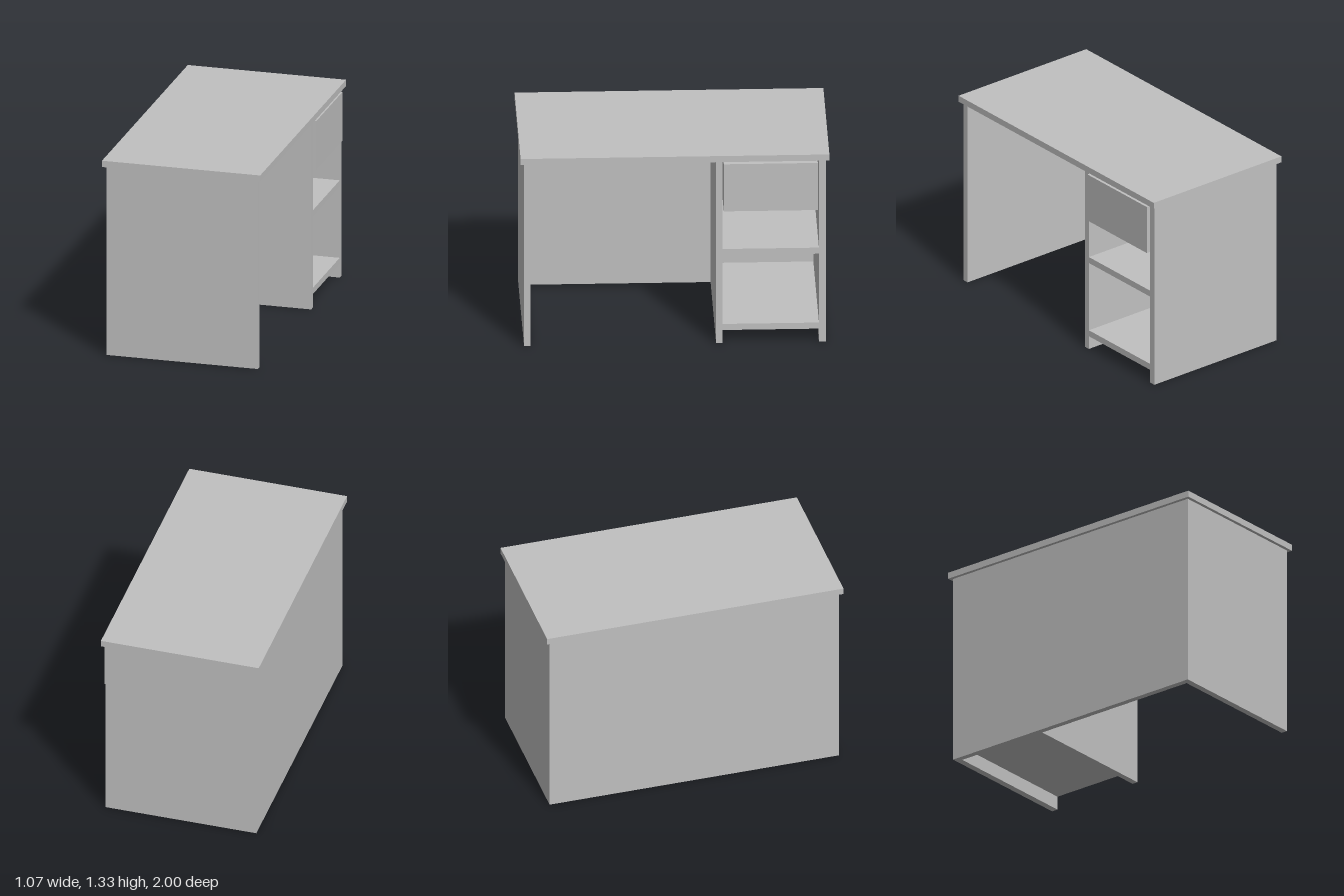
import * as THREE from 'three';

export function createModel() {
  const desk = new THREE.Group();
  desk.name = 'desk';
  const greyBoard = new THREE.MeshStandardMaterial({ color: 0xc0c0c0 });

  // Adds a board given its extents along each axis
  function board(name, [x0, x1], [y0, y1], [z0, z1]) {
    const mesh = new THREE.Mesh(new THREE.BoxGeometry(x1 - x0, y1 - y0, z1 - z0), greyBoard);
    mesh.position.set((x0 + x1) / 2, (y0 + y1) / 2, (z0 + z1) / 2);
    mesh.name = name;
    desk.add(mesh);
  }

  const height = 1.29;
  const depth = [-0.51, 0.51];
  const inner = [-0.47, 0.51]; // in front of the back panel

  // Overhanging top
  board('deskTop', [-0.533, 0.533], [height, 1.333], [-1, 1]);

  // Upright panels
  board('frontEndPanel', depth, [0, height], [0.935, 0.977]);
  board('rearEndPanel', depth, [0, height], [-0.977, -0.933]);
  board('backPanel', [-0.51, -0.47], [0, height], [-0.933, 0.935]);
  board('divider', inner, [0, height], [-0.307, -0.267]);

  // Shelves of the cabinet bay
  board('lowerShelf', inner, [0.092, 0.135], [-0.933, -0.307]);
  board('middleShelf', inner, [0.622, 0.665], [-0.933, -0.307]);

  // Drawer, standing slightly proud of the bay
  board('drawer', [-0.45, 0.53], [0.94, 1.273], [-0.925, -0.316]);

  return desk;
}
